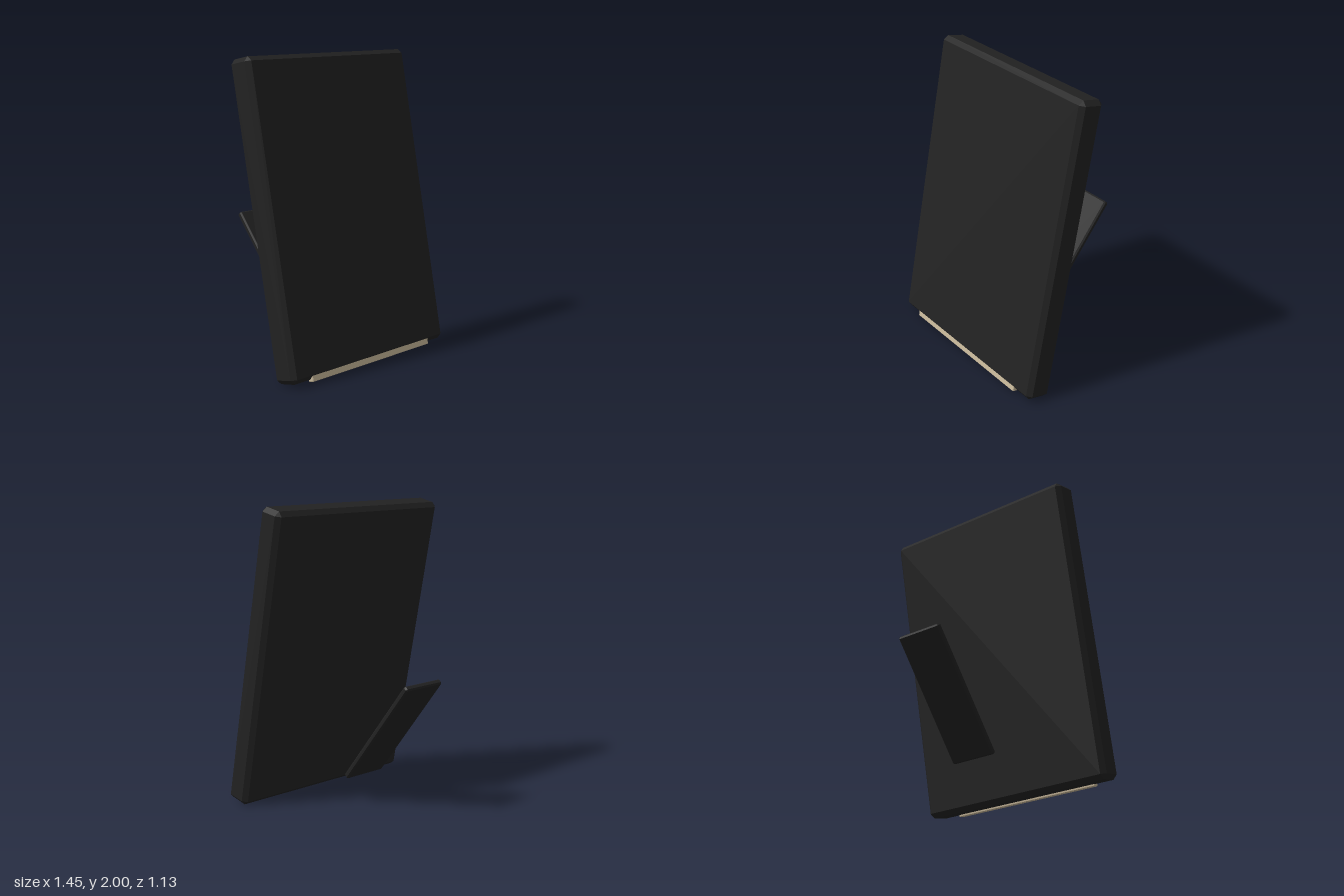
import * as THREE from 'three';
import { ConvexGeometry } from 'three/addons/geometries/ConvexGeometry.js';

// Box with a single flat bevel c on every edge (flat-shaded by construction)
function bevelBox(w, h, d, c) {
  const points = [];
  for (const sx of [-1, 1]) for (const sy of [-1, 1]) for (const sz of [-1, 1]) {
    const x = w / 2, y = h / 2, z = d / 2;
    points.push(
      new THREE.Vector3(sx * x, sy * (y - c), sz * (z - c)),
      new THREE.Vector3(sx * (x - c), sy * y, sz * (z - c)),
      new THREE.Vector3(sx * (x - c), sy * (y - c), sz * z)
    );
  }
  return new ConvexGeometry(points);
}

export function createModel() {
  const black = new THREE.MeshStandardMaterial({ name: 'black', color: 0x222222 });
  const beige = new THREE.MeshStandardMaterial({ name: 'beige', color: 0xc8b89a });
  const group = new THREE.Group();
  group.name = 'tiltedPanel';

  function add(name, geometry, material, y, z, tilt) {
    const mesh = new THREE.Mesh(geometry, material);
    mesh.name = name;
    mesh.position.set(0, y, z);
    mesh.rotation.x = -tilt;
    group.add(mesh);
  }

  // Thick panel leaning back
  add('panel', bevelBox(1.45, 2.016, 0.18, 0.03), black, 1.0, 0.283, 0.2);
  // Rear prop, floating behind the panel
  add('rearProp', bevelBox(0.33, 0.897, 0.04, 0.01), black, 0.522, -0.276, 0.67);
  // Pale strip along the lower front edge
  add('lowerStrip', bevelBox(1.12, 0.045, 0.04, 0.004), beige, 0.033, 0.545, 0.2);

  return group;
}
